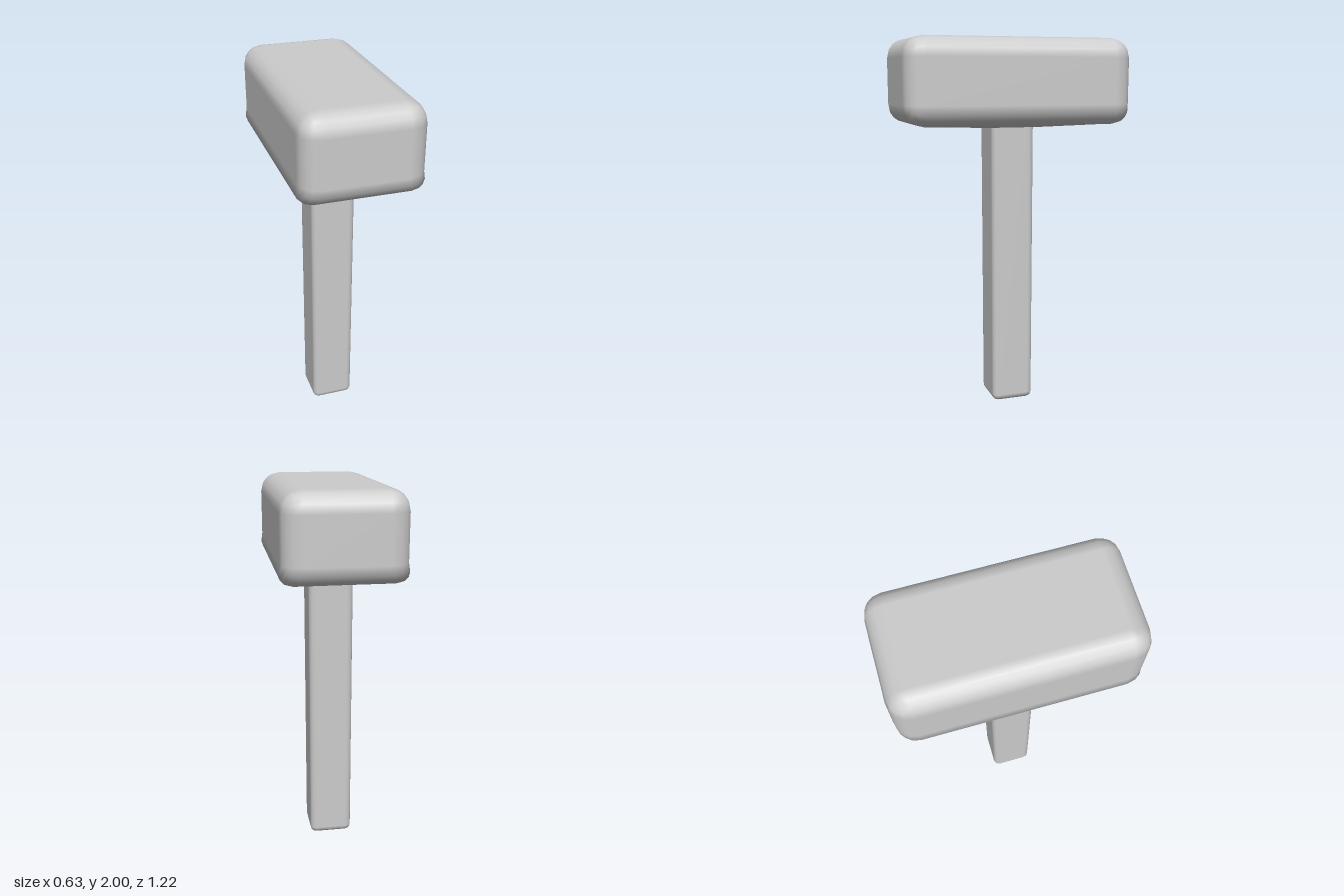
import * as THREE from 'three';
import { RoundedBoxGeometry } from 'three/addons/geometries/RoundedBoxGeometry.js';

const material = new THREE.MeshStandardMaterial({ color: 0xcccccc });

// Move every vertex of a geometry by a rule
function reshape(geometry, rule) {
  const pos = geometry.attributes.position;
  const v = new THREE.Vector3();
  for (let i = 0; i < pos.count; i++) {
    rule(v.fromBufferAttribute(pos, i));
    pos.setXYZ(i, v.x, v.y, v.z);
  }
  return geometry;
}

function addPart(group, name, geometry, y) {
  const mesh = new THREE.Mesh(geometry, material);
  mesh.name = name;
  mesh.position.y = y;
  group.add(mesh);
}

export function createModel() {
  const group = new THREE.Group();
  group.name = 'mallet';

  // Head: rounded block, with tighter rounding along the lower long edges
  const height = 0.45, radius = 0.105;
  const head = reshape(new RoundedBoxGeometry(0.62, height, 1.22, 2, radius), (v) => {
    const t = Math.max(0, (radius - height / 2 - v.y) / radius);
    v.x += Math.sign(v.x) * 0.04 * t;
  });
  addPart(group, 'head', head, 2 - height / 2);

  // Underside: shallow slope from the head's rim down to the handle
  const underside = reshape(new THREE.BoxGeometry(0.49, 0.02, 1.01), (v) => {
    if (v.y < 0) v.set(Math.sign(v.x) * 0.11, v.y, Math.sign(v.z) * 0.11);
  });
  underside.computeVertexNormals();
  addPart(group, 'headUnderside', underside, 1.542);

  // Handle: square bar with softened edges, slightly slimmer at the foot
  const handle = reshape(new RoundedBoxGeometry(0.24, 1.6, 0.236, 2, 0.035), (v) => {
    const taper = 0.985 + 0.015 * (v.y / 0.8);
    v.x *= taper;
    v.z *= taper;
  });
  addPart(group, 'handle', handle, 0.8);

  return group;
}
